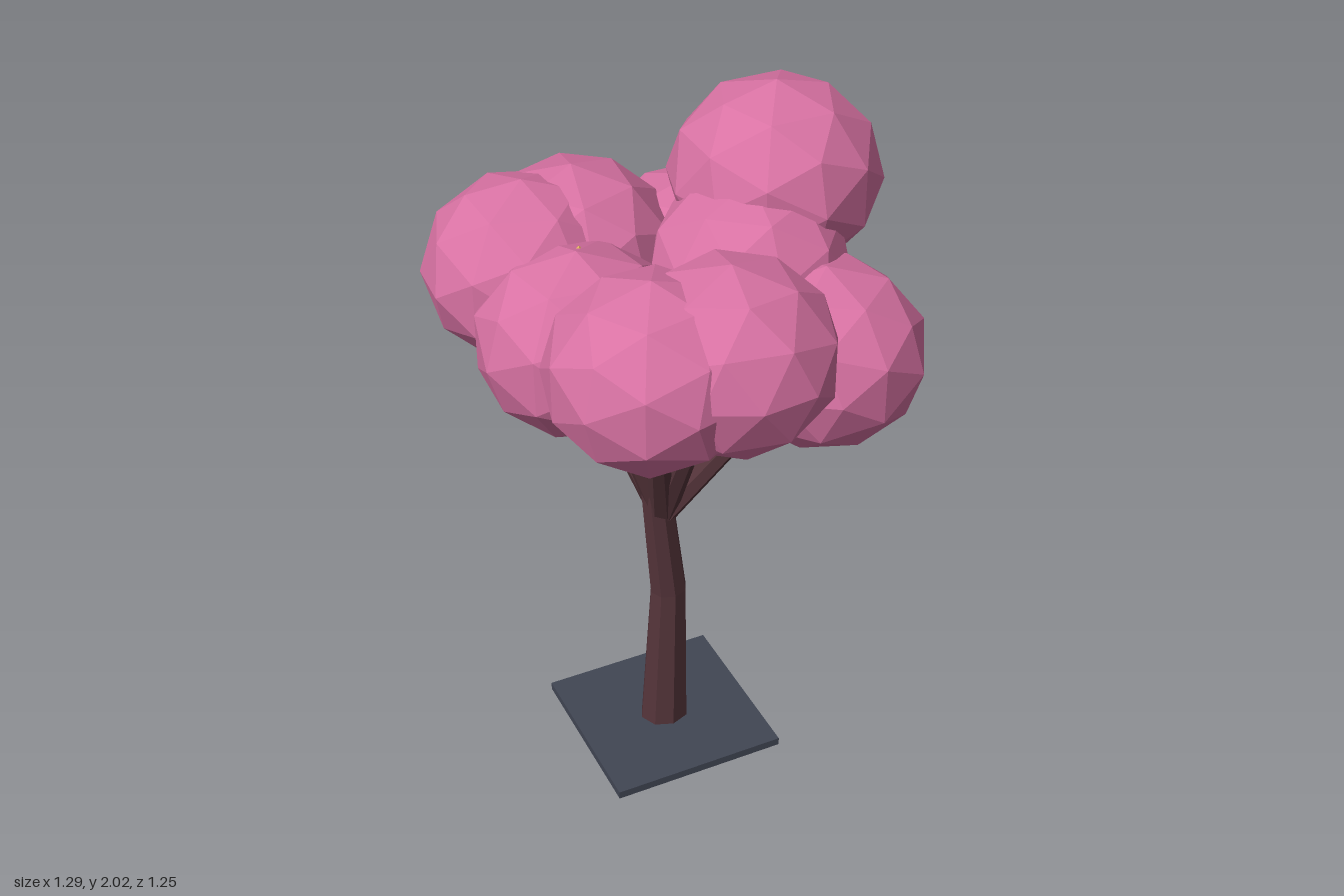
import * as THREE from 'three';

export function createModel() {
  const tree = new THREE.Group();
  tree.name = 'tree';

  const makeMaterial = (name, color) => {
    const m = new THREE.MeshStandardMaterial({ color, flatShading: true });
    m.name = name;
    return m;
  };
  const pink = makeMaterial('blossom pink', 0xd872a3);
  const bark = makeMaterial('dark bark', 0x54343a);
  const slate = makeMaterial('slate', 0x414654);
  const gold = makeMaterial('pale gold', 0xe0b060);

  const add = (name, geometry, material) => {
    const mesh = new THREE.Mesh(geometry, material);
    mesh.name = name;
    tree.add(mesh);
    return mesh;
  };

  // Tapered limb between two points
  const up = new THREE.Vector3(0, 1, 0);
  const limb = (name, a, b, r0, r1, sides) => {
    const from = new THREE.Vector3(...a), to = new THREE.Vector3(...b);
    const dir = to.clone().sub(from);
    const mesh = add(name, new THREE.CylinderGeometry(r1, r0, dir.length(), sides), bark);
    mesh.position.copy(from).add(to).multiplyScalar(0.5);
    mesh.quaternion.setFromUnitVectors(up, dir.normalize());
  };

  // Square base plate
  add('basePlate', new THREE.BoxGeometry(0.54, 0.025, 0.54), slate)
    .position.set(-0.095, 0.0125, -0.037);

  // Bent trunk: one lofted surface through tapering rings [x, y, radius]
  const rings = [[-0.092, 0.015, 0.077], [-0.073, 0.52, 0.057], [-0.112, 0.94, 0.046]];
  const trunk = new THREE.CylinderGeometry(1, 1, 1, 8, rings.length - 1);
  const pos = trunk.attributes.position;
  for (let i = 0; i < pos.count; i++) {
    const [x, y, r] = rings[Math.round((pos.getY(i) + 0.5) * (rings.length - 1))];
    pos.setXYZ(i, x + pos.getX(i) * r, y, -0.037 + pos.getZ(i) * r * 0.9);
  }
  add('trunk', trunk, bark);

  // Foliage clumps: centre and horizontal radius
  const clumps = [
    [0.34, 1.745, -0.20, 0.305],
    [0.29, 1.40, 0.20, 0.29],
    [-0.065, 1.57, 0.345, 0.29],
    [-0.265, 1.55, 0.30, 0.29],
    [-0.365, 1.56, -0.32, 0.29],
    [-0.21, 1.56, -0.345, 0.29],
    [0.15, 1.46, -0.325, 0.29],
    [-0.33, 1.48, -0.03, 0.29],
    [0.19, 1.555, -0.055, 0.29],
  ];
  clumps.forEach(([x, y, z, r], i) => {
    const clump = add('foliage' + (i + 1), new THREE.IcosahedronGeometry(r, 1), pink);
    clump.position.set(x, y, z);
    clump.scale.y = 0.915;
    clump.rotation.y = i * 0.7;
    // Branch reaching into the clump
    limb('branch' + (i + 1), [-0.09, 0.8, -0.037], [x * 0.9 - 0.01, y - 0.05, z * 0.9], 0.037, 0.025, 6);
  });

  // Tiny specks resting on the foliage
  [[0.405, 1.87, -0.44], [0.1, 1.87, -0.265], [0.355, 1.995, -0.15], [-0.31, 1.735, -0.06]].forEach((p, i) => {
    add('speck' + (i + 1), new THREE.OctahedronGeometry(0.007), gold).position.set(...p);
  });

  return tree;
}
